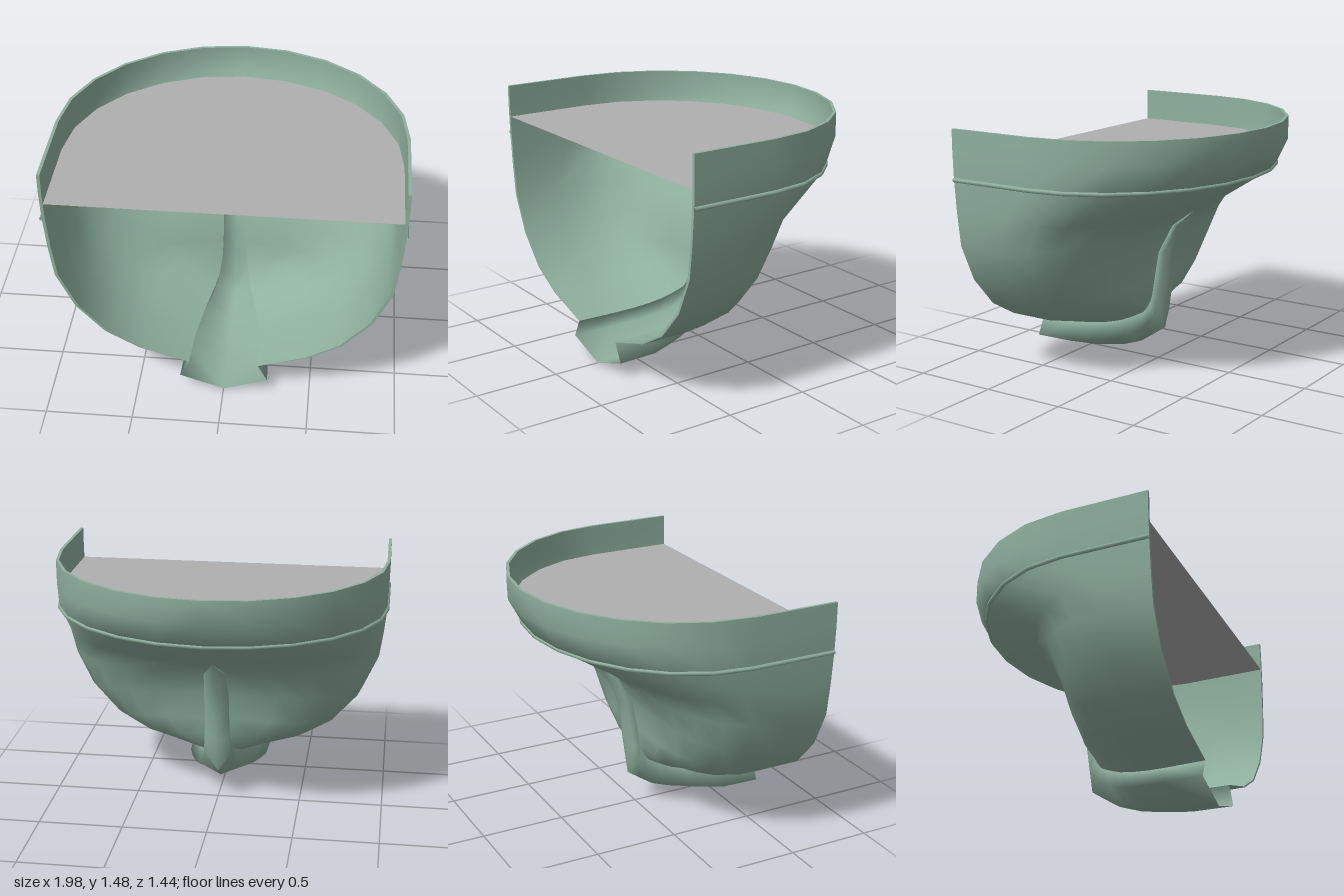
import * as THREE from 'three';
import { mergeVertices } from 'three/addons/utils/BufferGeometryUtils.js';

const FRONT = 0.72, WALL = 0.018, SEGS = 6;

// Hull levels from the rim down:
// [height at front, height at stern, half width, stern z, z where the curve starts, roundness, post half width]
const LEVELS = [
  [1.48, 1.48, 0.985, -0.72, 0.2, 2, 0],
  [1.34, 1.34, 0.985, -0.72, 0.2, 2, 0],
  [1.19, 1.19, 0.98, -0.635, 0.2, 2, 0],
  [1.0, 0.95, 0.965, -0.245, 0.36, 2.2, 0],
  [0.8, 0.86, 0.94, -0.14, 0.45, 2.5, 0.06],
  [0.58, 0.69, 0.84, -0.05, 0.45, 2.8, 0.07],
  [0.4, 0.52, 0.68, -0.02, 0.45, 2.9, 0.07],
  [0.29, 0.41, 0.49, -0.005, 0.45, 2.8, 0.075],
];

// Keel along the bottom: seam with the hull, outer flange, centre line
const SEAM = [
  [0.2, 0.2, 0.72], [0.19, 0.2, 0.48], [0.17, 0.21, 0.36], [0.15, 0.225, 0.26],
  [0.13, 0.245, 0.18], [0.11, 0.27, 0.12], [0.09, 0.305, 0.05], [0.08, 0.35, 0.01],
];
const FLANGE = [
  [0.255, 0.09, 0.72], [0.245, 0.09, 0.48], [0.215, 0.105, 0.36], [0.185, 0.12, 0.26],
  [0.16, 0.14, 0.18], [0.135, 0.165, 0.12], [0.105, 0.22, 0.03], [0.085, 0.3, -0.025],
];
const CENTRE = [
  [0, 0.003, 0.72], [0, 0.003, 0.48], [0, 0.022, 0.36], [0, 0.04, 0.26],
  [0, 0.068, 0.18], [0, 0.09, 0.12], [0, 0.15, 0.03], [0, 0.205, -0.05],
];
// Centre line of the stern post, one point per hull level going up
const POST = [[0, 0.4, -0.067], [0, 0.54, -0.088], [0, 0.7, -0.115], [0, 0.87, -0.195], [0, 0.955, -0.25]];

// Half outline of one level, from the front cut round to the stern
function outline([yF, yB, w, stern, z0, n, post], inset = 0) {
  const pts = [[w - inset, yF, FRONT]];
  for (let j = 0; j <= SEGS; j++) {
    const a = (j / SEGS) * Math.PI / 2;
    const c = j === SEGS ? 0 : Math.cos(a) ** (2 / n), s = Math.sin(a) ** (2 / n);
    pts.push([
      post + (w - inset - post) * c,
      yF + (yB - yF) * Math.sin(a),
      z0 + (stern + inset - z0) * s,
    ]);
  }
  // the lining meets the outer skin at the stern post
  if (post > 0) pts[pts.length - 1][2] = stern;
  return pts;
}

// Skin through rows of points, mirrored across x = 0
function skin(rows, flip = false) {
  const pos = [], index = [], n = rows[0].length;
  for (const side of [1, -1]) {
    const base = pos.length / 3;
    for (const row of rows) for (const [x, y, z] of row) pos.push(side * x, y, z);
    for (let i = 0; i < rows.length - 1; i++) {
      for (let j = 0; j < n - 1; j++) {
        const a = base + i * n + j, b = a + 1, c = a + n, d = c + 1;
        if ((side > 0) !== flip) index.push(a, c, b, b, c, d);
        else index.push(a, b, c, b, d, c);
      }
    }
  }
  let g = new THREE.BufferGeometry();
  g.setAttribute('position', new THREE.Float32BufferAttribute(pos, 3));
  g.setIndex(index);
  g = mergeVertices(g, 1e-4);
  g.computeVertexNormals();
  return g;
}

// Both halves of an outline as one run of points
function fullRun(half) {
  return [...half, ...half.slice(0, -1).reverse().map(([x, y, z]) => [-x, y, z])];
}

export function createModel() {
  const group = new THREE.Group();
  const green = new THREE.MeshStandardMaterial({ color: 0x8fb09f, side: THREE.DoubleSide });
  green.name = 'hullGreen';
  const grey = new THREE.MeshStandardMaterial({ color: 0xb0b0b0, side: THREE.DoubleSide });
  grey.name = 'deckGrey';
  const add = (name, geometry, material) => {
    const mesh = new THREE.Mesh(geometry, material);
    mesh.name = name;
    group.add(mesh);
  };

  // Hull shell: outer skin, lining and the edges between them
  const outer = [...LEVELS.map((l) => outline(l)), SEAM];
  const inner = [...LEVELS.map((l) => outline(l, WALL)), SEAM];
  add('hullOuter', skin(outer), green);
  add('hullLining', skin(inner, true), green);
  add('hullRim', skin([inner[0], outer[0]]), green);
  add('hullCutEdge', skin([inner.map((r) => r[0]), outer.map((r) => r[0])], true), green);

  // Keel and stern post, an open channel joined to the hull seam
  const up = outer.slice(3, -1).reverse().map((r) => r[r.length - 1]);
  const postFlange = up.map(([x, y, z], i) => [
    x * 1.02, (y + POST[i][1]) / 2, z * 0.35 + POST[i][2] * 0.65,
  ]);
  add('keel', skin([[...SEAM, ...up], [...FLANGE, ...postFlange], [...CENTRE, ...POST]]), green);

  // Rubbing strake round the outside
  const run = fullRun(outer[2]).map((p) => new THREE.Vector3(...p));
  const path = new THREE.CurvePath();
  for (let i = 0; i < run.length - 1; i++) path.add(new THREE.LineCurve3(run[i], run[i + 1]));
  add('rubbingStrake', new THREE.TubeGeometry(path, 90, 0.013, 6), green);

  // Deck inside the bulwark
  const deckEdge = fullRun(outline([1.29, 1.29, 0.975, -0.685, 0.2, 2, 0]));
  const shape = new THREE.Shape(deckEdge.map(([x, , z]) => new THREE.Vector2(x, -z)));
  const deck = new THREE.ShapeGeometry(shape).rotateX(-Math.PI / 2).translate(0, 1.29, 0);
  add('deck', deck, grey);

  return group;
}
